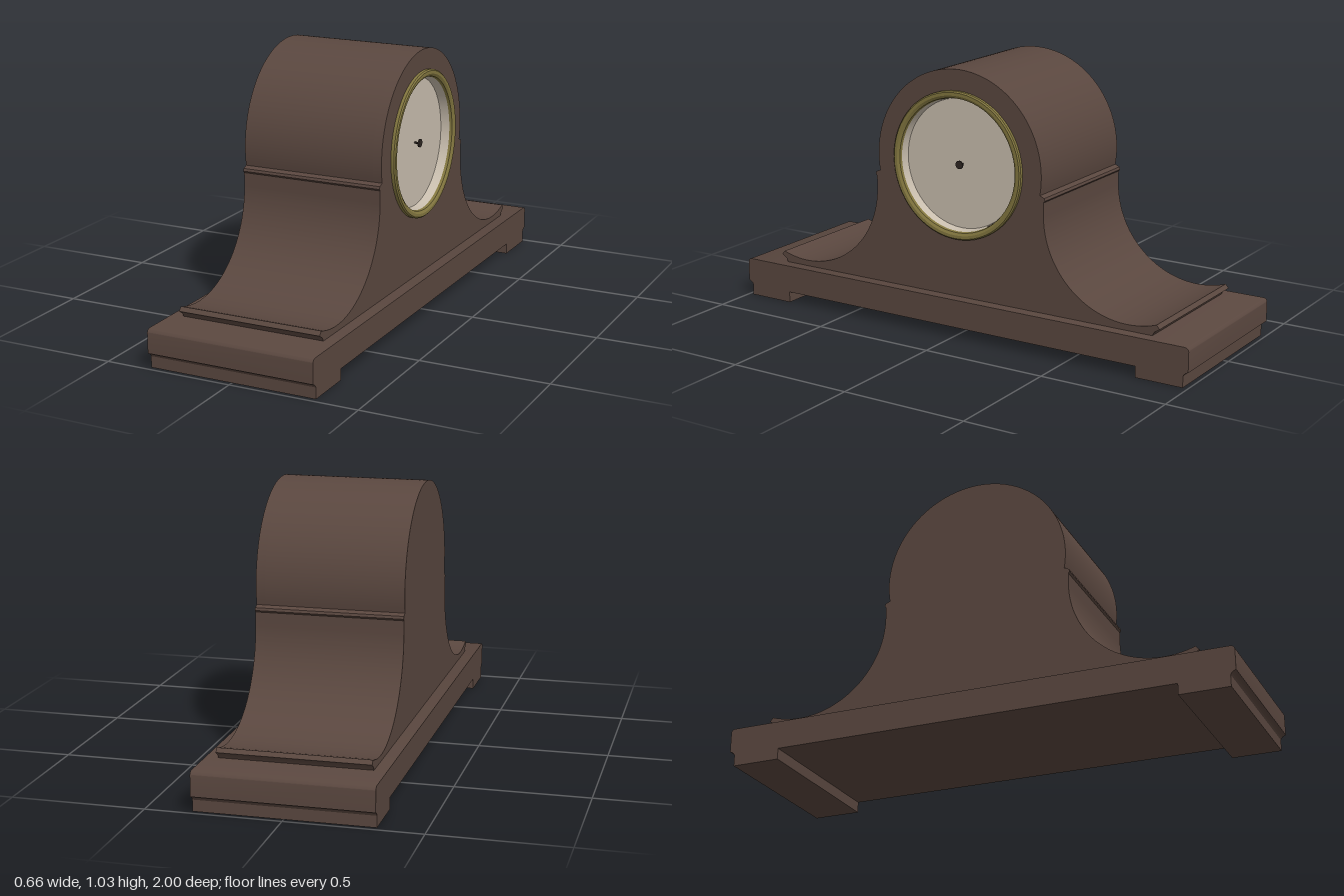
import * as THREE from 'three';
import { toCreasedNormals } from 'three/addons/utils/BufferGeometryUtils.js';

const DIAL_Y = 0.665;   // height of the dial centre
const FRONT_X = 0.283;  // dial side of the case
const DIAL_X = 0.25;    // depth of the recessed dial

// Extrude a side profile (profile x = -z) across the model from x0 to x1
function extrudeAcross(shape, x0, x1) {
  const geo = new THREE.ExtrudeGeometry(shape, { depth: x1 - x0, bevelEnabled: false, curveSegments: 40 });
  geo.translate(0, 0, x0);
  geo.rotateY(Math.PI / 2);
  return toCreasedNormals(geo, 0.5);
}

// Round top, small shoulders and coved sides ending in upturned lips
function caseShape() {
  const s = new THREE.Shape();
  const tip = Math.atan2(-0.337, 0.118);
  const a = Math.asin(0.065 / 0.365);
  s.moveTo(-0.83, 0.15);
  s.lineTo(0.83, 0.15);
  s.lineTo(0.838, 0.165);
  s.lineTo(0.86, 0.18);
  s.absarc(0.73, 0.53, 0.355, tip, -Math.PI, true);
  s.lineTo(0.375, 0.575);
  s.lineTo(0.381, 0.582);
  s.lineTo(0.378, 0.592);
  s.absarc(0, DIAL_Y, 0.365, -a, Math.PI + a, false);
  s.lineTo(-0.378, 0.592);
  s.lineTo(-0.381, 0.582);
  s.lineTo(-0.375, 0.575);
  s.absarc(-0.73, 0.53, 0.355, 0, -Math.PI - tip, true);
  s.lineTo(-0.86, 0.18);
  s.lineTo(-0.838, 0.165);
  s.closePath();
  return s;
}

// Long plinth with softened ends
function plinthShape() {
  const s = new THREE.Shape();
  s.moveTo(-0.98, 0.043);
  s.lineTo(0.98, 0.043);
  s.quadraticCurveTo(0.985, 0.055, 1, 0.06);
  s.lineTo(1, 0.138);
  s.quadraticCurveTo(0.998, 0.15, 0.985, 0.152);
  s.lineTo(-0.985, 0.152);
  s.quadraticCurveTo(-0.998, 0.15, -1, 0.138);
  s.lineTo(-1, 0.06);
  s.quadraticCurveTo(-0.985, 0.055, -0.98, 0.043);
  return s;
}

export function createModel() {
  const model = new THREE.Group();
  model.name = 'mantelClock';

  const mat = (name, color, side = THREE.FrontSide) => {
    const m = new THREE.MeshStandardMaterial({ color, side });
    m.name = name;
    return m;
  };
  const wood = mat('darkWood', 0x5a473f);
  const brass = mat('agedBrass', 0x82763f);
  const cream = mat('creamDial', 0xc9beae, THREE.DoubleSide);
  const dark = mat('darkMetal', 0x2e2622);

  const add = (name, geo, material, parent = model) => {
    const mesh = new THREE.Mesh(geo, material);
    mesh.name = name;
    parent.add(mesh);
    return mesh;
  };

  // Plinth and feet
  add('plinth', extrudeAcross(plinthShape(), -0.33, 0.33), wood);
  for (const side of [-1, 1]) {
    add('foot', new THREE.BoxGeometry(0.66, 0.045, 0.19), wood).position.set(0, 0.0225, side * 0.885);
  }

  // Case: solid behind the dial, pierced in front of it
  add('caseBack', extrudeAcross(caseShape(), -FRONT_X, DIAL_X - 0.002), wood);
  const pierced = caseShape();
  const hole = new THREE.Path();
  hole.absarc(0, DIAL_Y, 0.258, 0, Math.PI * 2, true);
  pierced.holes.push(hole);
  add('caseFront', extrudeAcross(pierced, DIAL_X - 0.002, FRONT_X), wood);

  // Clock face, built around the y axis and then turned towards +x
  const face = new THREE.Group();
  face.name = 'clockFace';
  face.rotation.z = -Math.PI / 2;
  face.position.y = DIAL_Y;
  model.add(face);

  const ring = [[0.285, 0.28], [0.285, 0.295], [0.28, 0.3], [0.268, 0.3], [0.258, 0.294], [0.255, 0.28]];
  const bezel = new THREE.LatheGeometry(ring.map(([r, h]) => new THREE.Vector2(r, h)), 64);
  add('bezel', toCreasedNormals(bezel, 0.5), brass, face);

  const liner = new THREE.CylinderGeometry(0.255, 0.25, 0.034, 64, 1, true);
  add('dialRim', liner, cream, face).position.y = DIAL_X + 0.017;
  const dial = new THREE.CircleGeometry(0.251, 64);
  dial.rotateX(-Math.PI / 2);
  add('dial', dial, cream, face).position.y = DIAL_X;

  // Centre spindle and hub
  add('spindle', new THREE.CylinderGeometry(0.004, 0.004, 0.025, 8), dark, face).position.y = DIAL_X + 0.0125;
  add('hub', new THREE.CylinderGeometry(0.016, 0.016, 0.006, 12), dark, face).position.y = 0.272;

  return model;
}
